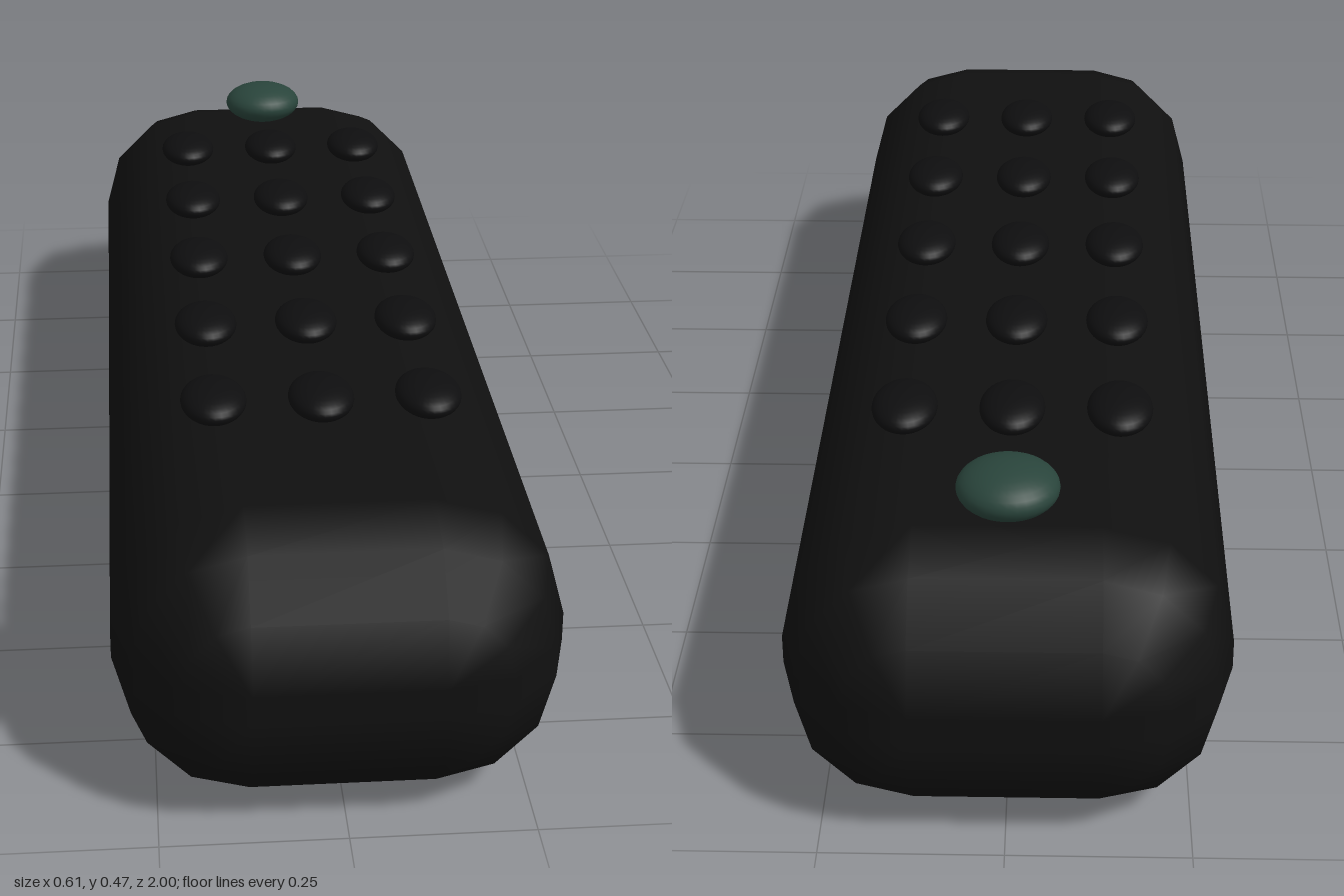
import * as THREE from 'three';

const bodyMat = new THREE.MeshStandardMaterial({ color: 0x101010 });
bodyMat.name = 'bodyBlack';
const buttonMat = new THREE.MeshStandardMaterial({ color: 0x0e0e0f });
buttonMat.name = 'buttonBlack';
const powerMat = new THREE.MeshStandardMaterial({ color: 0x29443b });
powerMat.name = 'darkGreen';

// Box with every edge and corner rounded in `steps` equal turns
function roundedBlock(w, h, d, r, steps) {
  const pos = [], nor = [], idx = [];
  const n = (steps + 1) * 4, rows = (steps + 1) * 2;
  const turn = Math.PI / 2 / steps;
  for (let j = 0; j < rows; j++) {
    const front = j <= steps;
    const polar = (front ? j : j - 1) * turn;
    const cz = (d / 2 - r) * (front ? 1 : -1);
    for (let i = 0; i < n; i++) {
      const q = Math.floor(i / (steps + 1));
      const a = (i - q) * turn;
      const sx = q === 0 || q === 3 ? 1 : -1, sy = q < 2 ? 1 : -1;
      const nx = Math.sin(polar) * Math.cos(a), ny = Math.sin(polar) * Math.sin(a), nz = Math.cos(polar);
      nor.push(nx, ny, nz);
      pos.push(sx * (w / 2 - r) + nx * r, sy * (h / 2 - r) + ny * r, cz + nz * r);
    }
  }
  for (let j = 0; j < rows - 1; j++) {
    for (let i = 0; i < n; i++) {
      const a = j * n + i, b = j * n + (i + 1) % n;
      idx.push(a, a + n, b, b, a + n, b + n);
    }
  }
  // flat end caps
  const k = steps + 1, e = (rows - 1) * n;
  idx.push(0, k, 2 * k, 0, 2 * k, 3 * k);
  idx.push(e, e + 2 * k, e + k, e, e + 3 * k, e + 2 * k);
  const geo = new THREE.BufferGeometry();
  geo.setAttribute('position', new THREE.Float32BufferAttribute(pos, 3));
  geo.setAttribute('normal', new THREE.Float32BufferAttribute(nor, 3));
  geo.setIndex(idx);
  return geo;
}

function dome(name, mat, rx, ry, rz, x, y, z) {
  const mesh = new THREE.Mesh(new THREE.SphereGeometry(1, 32, 16).scale(rx, ry, rz), mat);
  mesh.name = name;
  mesh.position.set(x, y, z);
  return mesh;
}

export function createModel() {
  const model = new THREE.Group();
  model.name = 'remoteControl';

  const body = new THREE.Mesh(roundedBlock(0.612, 0.402, 2, 0.18, 3), bodyMat);
  body.name = 'body';
  body.position.y = 0.201;
  model.add(body);

  // keypad: five rows of three oval buttons
  const keypad = new THREE.Group();
  keypad.name = 'keypad';
  for (let row = -2; row <= 2; row++) {
    for (let col = -1; col <= 1; col++) {
      keypad.add(dome('button', buttonMat, 0.047, 0.0235, 0.07, col * 0.153, 0.425, row * 0.271));
    }
  }
  model.add(keypad);

  model.add(dome('powerButton', powerMat, 0.07, 0.035, 0.07, 0, 0.437, -0.776));
  return model;
}
